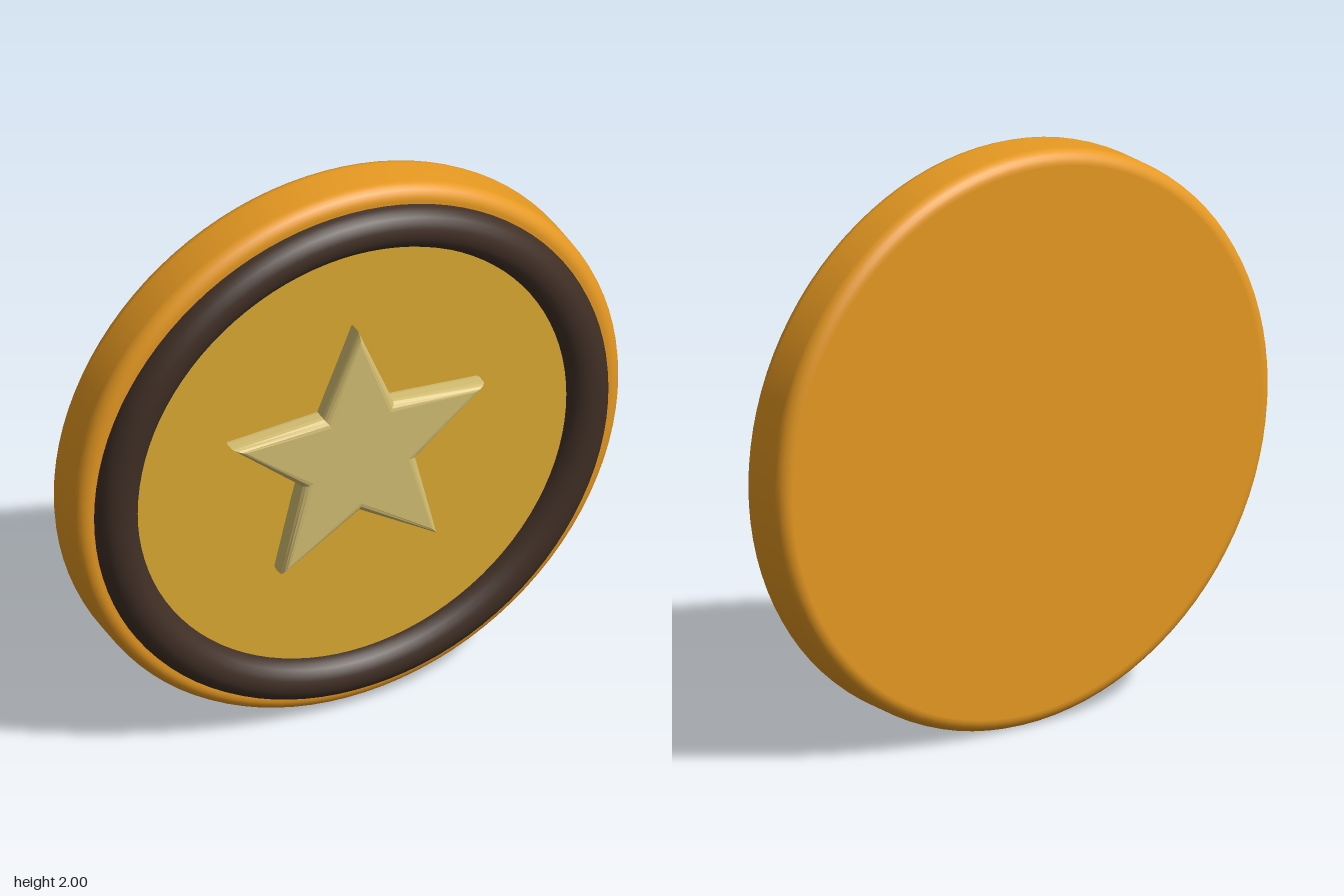
import * as THREE from 'three';

const SEG = 96;

function material(name, color) {
  const m = new THREE.MeshStandardMaterial({ color });
  m.name = name;
  return m;
}

// Lathe profile of a disc with rounded rims, turned to face +z
function roundedDisc(radius, back, front, round) {
  const pts = [new THREE.Vector2(0, back)];
  const arc = (cy, start) => {
    for (let i = 0; i <= 6; i++) {
      const a = start + (i / 6) * Math.PI / 2;
      pts.push(new THREE.Vector2(radius - round + round * Math.cos(a), cy + round * Math.sin(a)));
    }
  };
  arc(back + round, -Math.PI / 2);
  arc(front - round, 0);
  pts.push(new THREE.Vector2(0, front));
  return new THREE.LatheGeometry(pts, SEG).rotateX(Math.PI / 2);
}

function starShape(outer, inner) {
  const pts = [];
  for (let i = 0; i < 10; i++) {
    const a = Math.PI / 2 + i * Math.PI / 5;
    const r = i % 2 ? inner : outer;
    pts.push(new THREE.Vector2(r * Math.cos(a), r * Math.sin(a)));
  }
  return new THREE.Shape(pts);
}

export function createModel() {
  const group = new THREE.Group();
  group.name = 'starCoin';

  const add = (name, geometry, mat, y = 1, z = 0) => {
    const mesh = new THREE.Mesh(geometry, mat);
    mesh.name = name;
    mesh.position.set(0, y, z);
    group.add(mesh);
  };

  // Thick coin body
  add('body', roundedDisc(1, -0.15, 0.067, 0.05), material('orange gold', 0xe89a22));

  // Dark ring half sunk into the front
  add('ring', new THREE.TorusGeometry(0.862, 0.077, 24, SEG), material('dark brown', 0x402f26), 1, 0.063);

  // Thin yellow face inside the ring
  const face = new THREE.CylinderGeometry(0.8, 0.8, 0.009, SEG).rotateX(Math.PI / 2);
  add('face', face, material('yellow gold', 0xdcab32), 1, 0.0715);

  // Raised star with soft bevelled edges
  const star = new THREE.ExtrudeGeometry(starShape(0.443, 0.182), {
    depth: 0.03, bevelEnabled: true, bevelThickness: 0.03, bevelSize: 0.03, bevelSegments: 4,
  });
  add('star', star, material('pale gold', 0xd4be72), 1.022, 0.09);

  return group;
}
